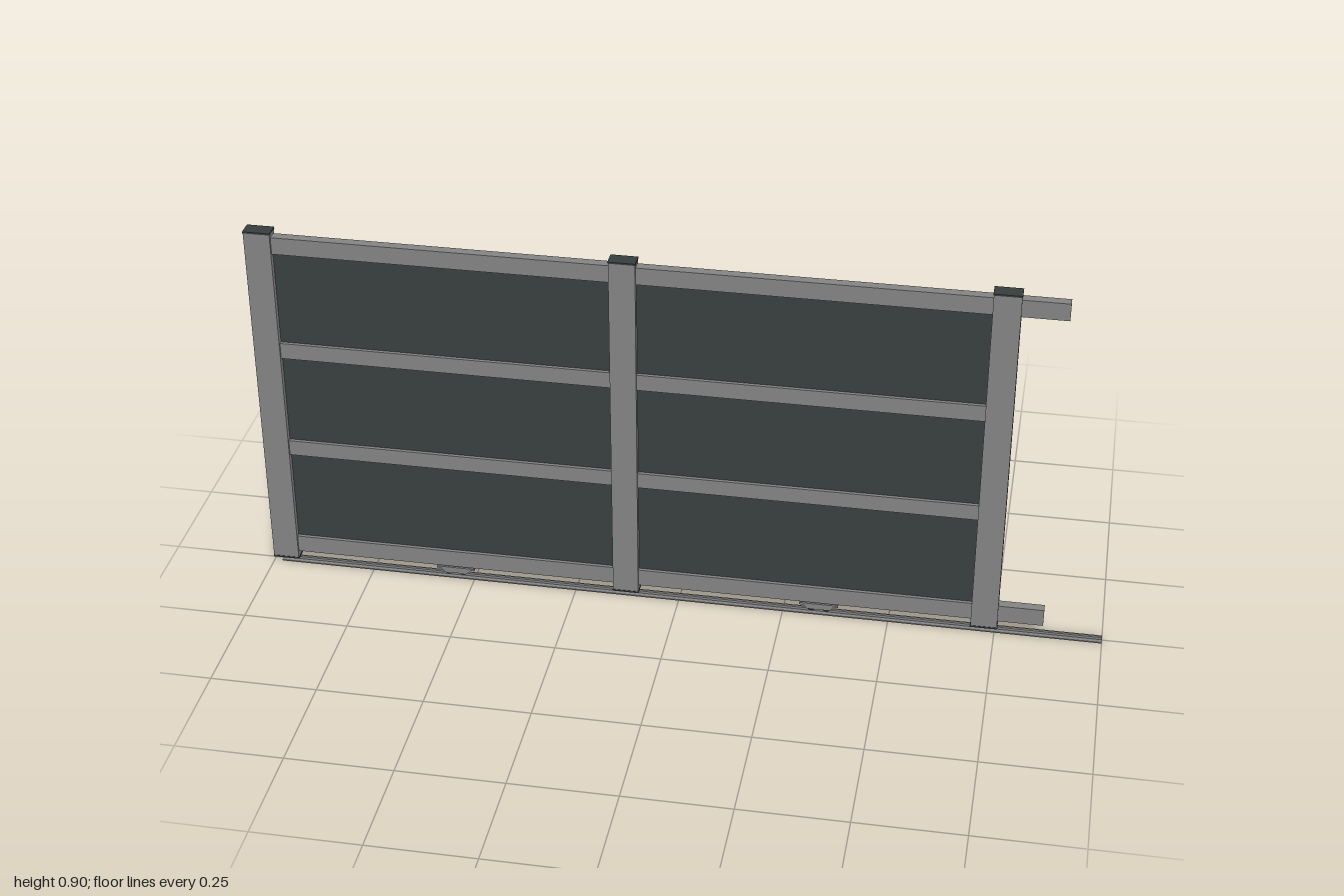
import * as THREE from 'three';

export function createModel() {
  const gate = new THREE.Group();
  gate.name = 'slidingGate';

  const mat = (name, color) => {
    const m = new THREE.MeshStandardMaterial({ color });
    m.name = name;
    return m;
  };
  const frameGrey = mat('frameGrey', 0x848484);
  const panelDark = mat('panelDark', 0x39403f);
  const capDark = mat('capDark', 0x363d3c);

  const add = (name, geometry, material, x, y, z = 0, parent = gate) => {
    const mesh = new THREE.Mesh(geometry, material);
    mesh.name = name;
    mesh.position.set(x, y, z);
    parent.add(mesh);
    return mesh;
  };
  // Box given by its x and y limits and full depth
  const slab = (name, material, x0, x1, y0, y1, depth, parent = gate) =>
    add(name, new THREE.BoxGeometry(x1 - x0, y1 - y0, depth), material,
      (x0 + x1) / 2, (y0 + y1) / 2, 0, parent);

  // Upright posts, each with a dark cap at both ends
  const posts = [[-0.999, -0.937], [-0.158, -0.097], [0.694, 0.756]];
  for (const [x0, x1] of posts) {
    slab('post', frameGrey, x0, x1, 0.017, 0.896, 0.035);
    slab('topCap', capDark, x0 - 0.001, x1 + 0.001, 0.896, 0.9, 0.037);
    slab('bottomCap', capDark, x0 - 0.001, x1 + 0.001, 0.013, 0.017, 0.037);
  }

  // Horizontal rails: the outer two run on past the last post
  const rails = [[0.032, 0.075], [0.308, 0.347], [0.572, 0.612], [0.845, 0.887]];
  rails.forEach(([y0, y1], i) => {
    const outer = i === 0 || i === rails.length - 1;
    if (outer) slab('rail', frameGrey, -0.94, 0.862, y0, y1, 0.023);
    else slab('rail', frameGrey, -0.94, 0.7, y0, y1, 0.023);
  });

  // Infill sheets between the rails of each bay
  for (let bay = 0; bay < 2; bay++) {
    for (let i = 0; i < 3; i++) {
      slab('infillPanel', panelDark, posts[bay][1], posts[bay + 1][0],
        rails[i][1], rails[i + 1][0], 0.006);
    }
  }

  // Ground track: flat strip with a raised guide
  slab('trackBase', frameGrey, -0.98, 1, 0, 0.003, 0.028);
  slab('trackGuide', frameGrey, -0.98, 1, 0.003, 0.009, 0.006);

  // Roller carriages under the bottom rail
  for (const x of [-0.546, 0.335]) {
    const carriage = new THREE.Group();
    carriage.name = 'rollerCarriage';
    carriage.position.x = x;
    gate.add(carriage);
    slab('mountPlate', frameGrey, -0.046, 0.046, 0.023, 0.028, 0.022, carriage);
    slab('spacer', frameGrey, -0.02, 0.02, 0.028, 0.032, 0.012, carriage);
    // Tapered side cheeks
    const cheek = new THREE.Shape();
    cheek.moveTo(-0.036, 0.023);
    cheek.lineTo(-0.028, 0.012);
    cheek.lineTo(0.028, 0.012);
    cheek.lineTo(0.036, 0.023);
    const cheekGeometry = new THREE.ExtrudeGeometry(cheek, { depth: 0.002, bevelEnabled: false });
    for (const z of [-0.01, 0.008]) add('cheek', cheekGeometry, frameGrey, 0, 0, z, carriage);
    // Wheels riding on the guide
    for (const wx of [-0.018, 0.018]) {
      const wheel = add('wheel', new THREE.CylinderGeometry(0.0085, 0.0085, 0.014, 20),
        capDark, wx, 0.0145, 0, carriage);
      wheel.rotation.x = Math.PI / 2;
    }
  }
  return gate;
}
